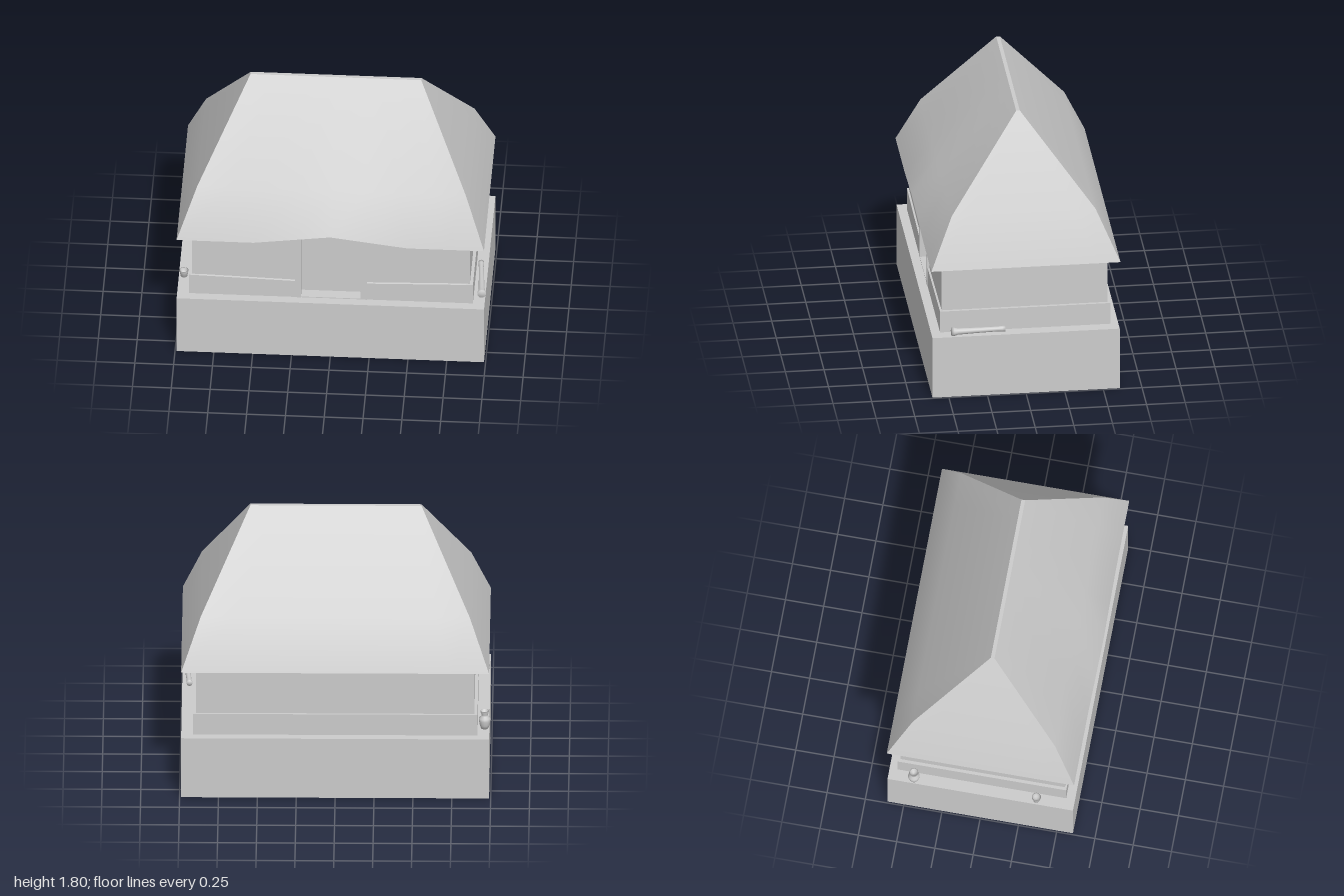
import * as THREE from 'three';

const grey = new THREE.MeshStandardMaterial({ color: 0xcccccc });
const greyDouble = new THREE.MeshStandardMaterial({ color: 0xcccccc, side: THREE.DoubleSide });

function add(parent, name, geometry, material = grey) {
  const mesh = new THREE.Mesh(geometry, material);
  mesh.name = name;
  parent.add(mesh);
  return mesh;
}

// Box given by its two extreme corners
function boxBetween(x0, y0, z0, x1, y1, z1) {
  return new THREE.BoxGeometry(x1 - x0, y1 - y0, z1 - z0)
    .translate((x0 + x1) / 2, (y0 + y1) / 2, (z0 + z1) / 2);
}

// Wall block with a notch for the doorway in its front
function notchedBlock(halfX, back, front, notchX, notchZ, y0, y1) {
  const outline = [
    [-halfX, back], [halfX, back], [halfX, front], [notchX, front],
    [notchX, notchZ], [-notchX, notchZ], [-notchX, front], [-halfX, front],
  ];
  const shape = new THREE.Shape(outline.map(([x, z]) => new THREE.Vector2(x, -z)));
  return new THREE.ExtrudeGeometry(shape, { depth: y1 - y0, bevelEnabled: false })
    .rotateX(-Math.PI / 2).translate(0, y0, 0);
}

// Surface through rows of points, smooth within itself
function loft(rows) {
  const n = rows[0].length;
  const index = [];
  for (let r = 0; r < rows.length - 1; r++) {
    for (let c = 0; c < n - 1; c++) {
      const a = r * n + c, b = a + 1, d = a + n, e = d + 1;
      index.push(a, b, e, a, e, d);
    }
  }
  const geometry = new THREE.BufferGeometry();
  geometry.setAttribute('position', new THREE.Float32BufferAttribute(rows.flat(2), 3));
  geometry.setIndex(index);
  geometry.computeVertexNormals();
  return geometry;
}

function buildRoof() {
  const roof = new THREE.Group();
  roof.name = 'roof';
  // Half width, height and half depth at eave, bend and ridge
  const levels = [[0.99, 0.9, 0.612], [0.865, 1.23, 0.465], [0.55, 1.805, 0.012]];
  const steps = [-1, -0.75, -0.5, -0.25, 0, 0.25, 0.5, 0.75, 1];
  const arch = (t) => Math.max(0, 1 - Math.abs(t) / 0.5);
  const front = levels.map(([x, y, z], i) => steps.map((t) => {
    const lift = i === 0 ? arch(t) : 0;
    return [x * t, y + 0.075 * lift, z + 0.012 * lift];
  }));
  const back = levels.map(([x, y, z]) => steps.map((t) => [-x * t, y, -z]));
  const side = (s) => levels.map(([x, y, z]) => steps.map((t) => [s * x, y, -s * z * t]));
  add(roof, 'frontThatch', loft(front), greyDouble);
  add(roof, 'backThatch', loft(back), greyDouble);
  add(roof, 'leftThatch', loft(side(1)), greyDouble);
  add(roof, 'rightThatch', loft(side(-1)), greyDouble);
  add(roof, 'ridgeCap', loft([front[2], [...back[2]].reverse()]), greyDouble);

  // Underside strips from each eave to the walls
  const soffit = (eave, inner) => loft([inner, eave]);
  add(roof, 'frontSoffit', soffit(front[0], front[0].map(([x, y]) => [x * 0.9, y, 0.53])), greyDouble);
  add(roof, 'backSoffit', soffit(back[0], back[0].map(([x, y]) => [x * 0.9, y, -0.53])), greyDouble);
  for (const s of [1, -1]) {
    const eave = side(s)[0];
    const inner = eave.map(([x, y, z]) => [x * 0.9, y, z * 0.87]);
    add(roof, s > 0 ? 'leftSoffit' : 'rightSoffit', soffit(eave, inner), greyDouble);
  }
  return roof;
}

function buildDoorway() {
  const doorway = new THREE.Group();
  doorway.name = 'doorway';
  for (const s of [1, -1]) {
    add(doorway, 'doorPost', boxBetween(-0.02, 0.427, 0.46, 0.02, 0.95, 0.55).translate(s * 0.212, 0, 0));
  }
  add(doorway, 'lintel', boxBetween(-0.192, 0.917, 0.46, 0.192, 0.95, 0.548));
  add(doorway, 'door', boxBetween(-0.192, 0.43, 0.45, 0.192, 0.92, 0.475));
  add(doorway, 'threshold', boxBetween(-0.192, 0.427, 0.47, 0.192, 0.433, 0.548));
  return doorway;
}

function lathe(points) {
  return new THREE.LatheGeometry(points.map(([r, y]) => new THREE.Vector2(r, y)), 14);
}

export function createModel() {
  const house = new THREE.Group();
  house.name = 'thatchedHouse';

  // Platform, open underneath
  const base = boxBetween(-0.99, 0, -0.607, 0.99, 0.425, 0.605);
  const faces = Array.from(base.index.array);
  faces.splice(18, 6);
  base.setIndex(faces);
  base.clearGroups();
  add(house, 'platform', base, greyDouble);

  // Lower wall band, its front top dipping toward the door
  const band = notchedBlock(0.915, -0.555, 0.547, 0.228, 0.46, 0.427, 0.575);
  const p = band.attributes.position;
  for (let i = 0; i < p.count; i++) {
    if (Math.abs(p.getX(i)) < 0.3 && p.getZ(i) > 0.5 && p.getY(i) > 0.5) p.setY(i, 0.555);
  }
  band.computeVertexNormals();
  add(house, 'lowerWall', band);
  add(house, 'upperWall', notchedBlock(0.895, -0.54, 0.535, 0.228, 0.46, 0.43, 0.955));
  house.add(buildDoorway(), buildRoof());

  // Pots on the right ledge
  const vase = add(house, 'vase', lathe([
    [0, 0], [0.024, 0], [0.032, 0.025], [0.038, 0.055], [0.036, 0.072], [0.022, 0.088],
    [0.02, 0.098], [0.029, 0.122], [0.024, 0.124], [0.014, 0.1], [0, 0.098],
  ]), greyDouble);
  vase.position.set(-0.96, 0.425, -0.44);
  const cup = add(house, 'cup', lathe([
    [0, 0], [0.022, 0], [0.03, 0.045], [0.025, 0.045], [0.02, 0.012], [0, 0.012],
  ]), greyDouble);
  cup.position.set(-0.957, 0.425, 0.36);

  // Flared log lying on the left ledge
  const log = add(house, 'log', lathe([
    [0, 0], [0.019, 0], [0.019, 0.02], [0.016, 0.05], [0.018, 0.2], [0.021, 0.31],
    [0.028, 0.335], [0.028, 0.35], [0, 0.35],
  ]).rotateX(Math.PI / 2));
  log.position.set(0.943, 0.446, 0.13);
  log.rotation.set(-0.02, 0.07, 0);
  return house;
}
